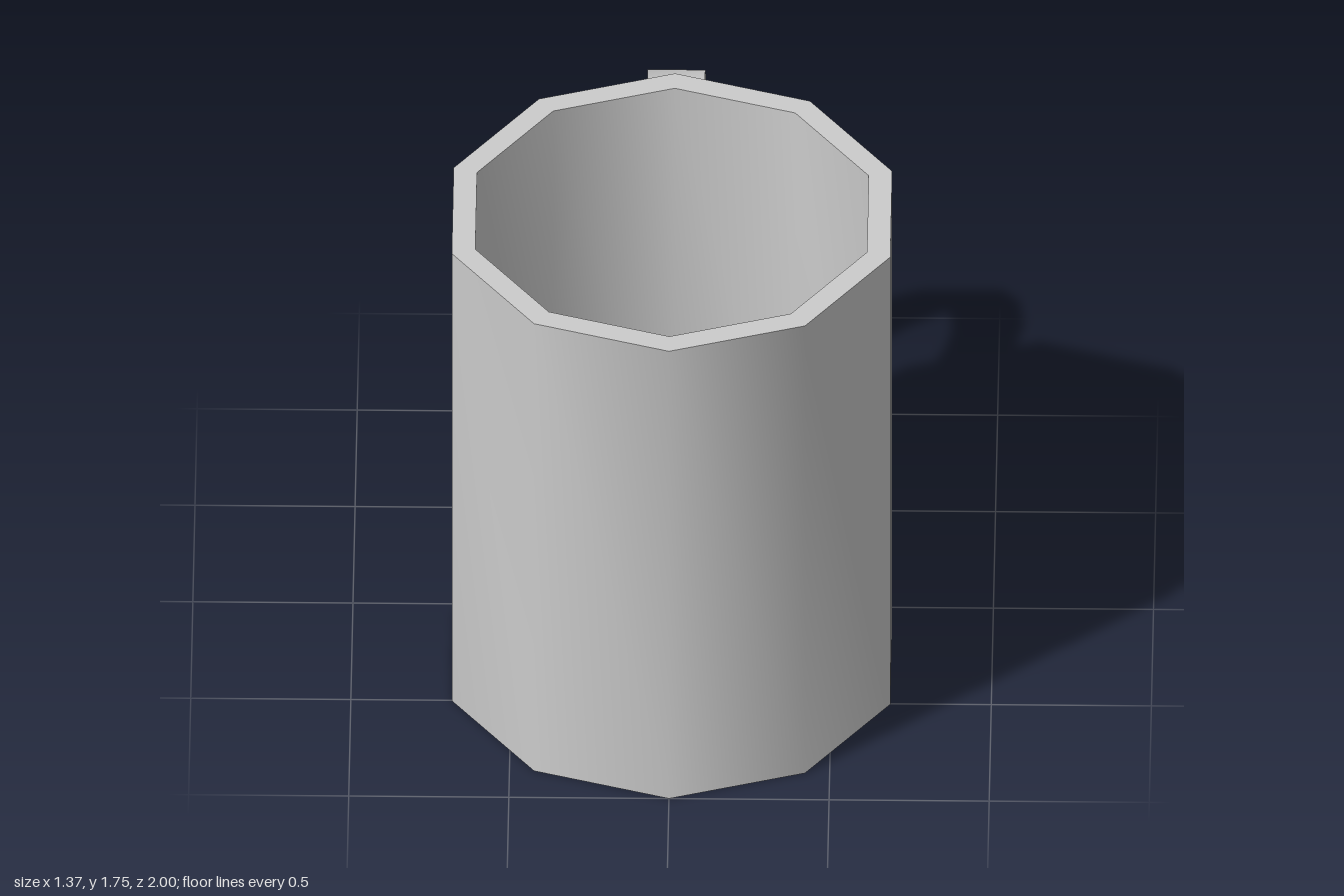
import * as THREE from 'three';
import { toCreasedNormals } from 'three/addons/utils/BufferGeometryUtils.js';

const CREASE = 0.8; // keeps rims and ends sharp, curved walls smooth

export function createModel() {
  const group = new THREE.Group();
  group.name = 'mug';
  const grey = new THREE.MeshStandardMaterial({ color: 0xcccccc });
  grey.name = 'light grey';

  const add = (name, geometry) => {
    const mesh = new THREE.Mesh(toCreasedNormals(geometry, CREASE), grey);
    mesh.name = name;
    group.add(mesh);
    return mesh;
  };

  // Ten-sided hollow cup: base, outer wall, rim, inner wall, floor
  const R = 0.72, r = 0.643, H = 1.75, floor = 0.08;
  const profile = [[0, 0], [R, 0], [R, H], [r, H], [r, floor], [0, floor]]
    .map(([x, y]) => new THREE.Vector2(x, y));
  add('cup', new THREE.LatheGeometry(profile, 10)).position.z = 0.28;

  // C-shaped handle: upper half as (distance behind, height), mirrored about midY
  const midY = 0.949, width = 0.18;
  const outer = [[0.43, 1.308], [0.458, 1.396], [0.528, 1.481], [0.646, 1.53], [0.78, 1.508],
    [0.877, 1.428], [0.941, 1.308], [0.984, 1.162], [1, midY]];
  const inner = [[0.496, 1.317], [0.512, 1.358], [0.571, 1.428], [0.655, 1.465], [0.748, 1.45],
    [0.823, 1.378], [0.881, 1.275], [0.919, 1.137], [0.935, midY]];
  const mirrored = (pts) => [
    ...pts,
    ...pts.slice(0, -1).reverse().map(([d, y]) => [d, 2 * midY - y]),
  ];
  const outline = [...mirrored(outer), ...mirrored(inner).reverse()]
    .map(([d, y]) => new THREE.Vector2(d, y));
  const handle = new THREE.ExtrudeGeometry(new THREE.Shape(outline), {
    depth: width, bevelEnabled: false,
  });
  handle.translate(0, 0, -width / 2).rotateY(Math.PI / 2);
  add('handle', handle);

  return group;
}
